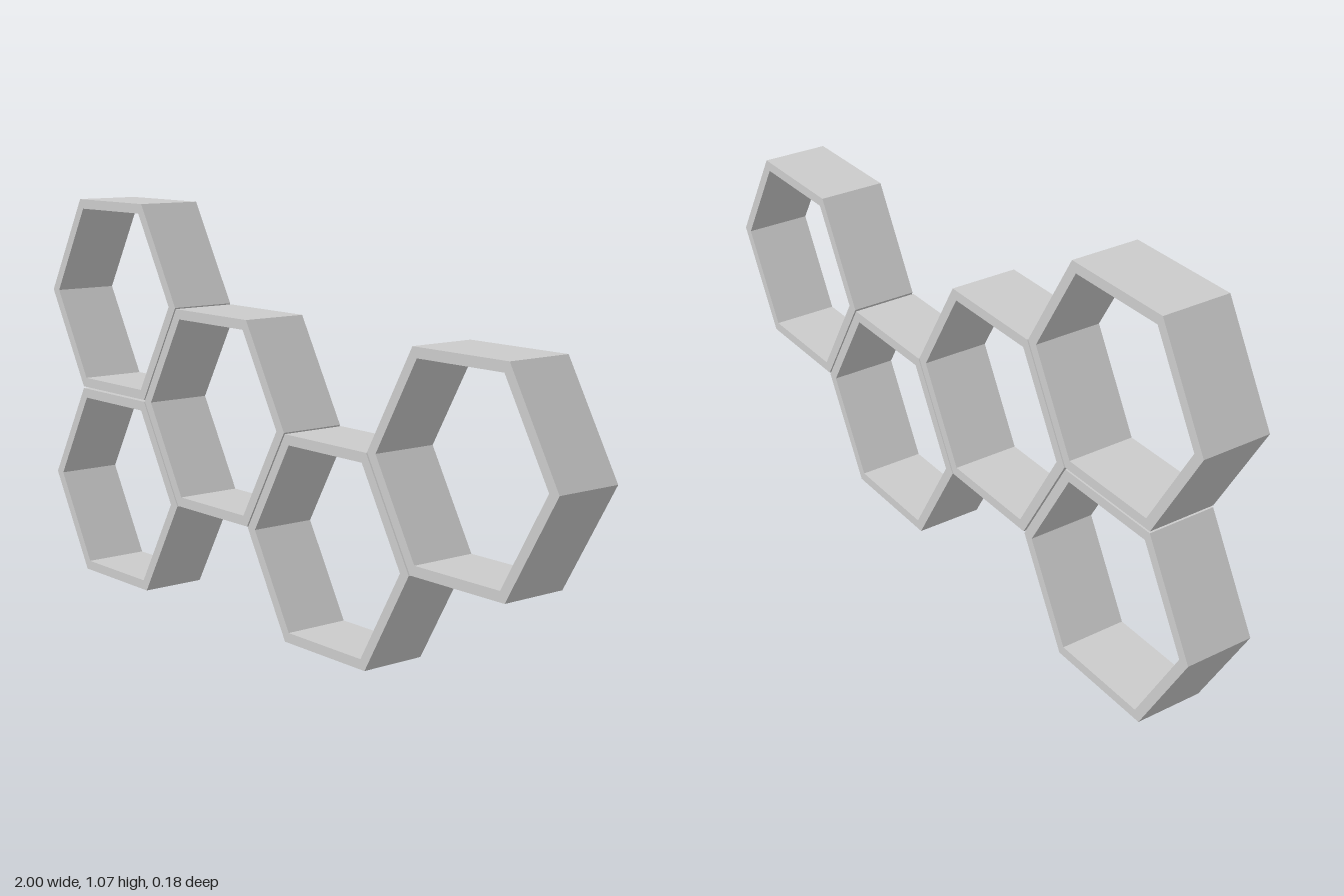
import * as THREE from 'three';

const OUTER = 0.306;  // corner radius of a cell
const INNER = 0.276;  // corner radius of its opening
const DEPTH = 0.18;
const PITCH_X = 0.4627;
const PITCH_Y = 0.535;

// Corners of a flat-topped hexagon
function hexagon(radius) {
  return Array.from({ length: 6 }, (_, i) => {
    const a = (i * Math.PI) / 3;
    return new THREE.Vector2(radius * Math.cos(a), radius * Math.sin(a));
  });
}

export function createModel() {
  const group = new THREE.Group();
  group.name = 'honeycombShelf';
  const material = new THREE.MeshStandardMaterial({ color: 0xcccccc, flatShading: true });

  // One open hexagonal frame, shared by all cells
  const shape = new THREE.Shape(hexagon(OUTER));
  shape.holes.push(new THREE.Path(hexagon(INNER).reverse()));
  const geometry = new THREE.ExtrudeGeometry(shape, { depth: DEPTH, bevelEnabled: false });
  geometry.translate(0, 0, -DEPTH / 2);

  // Cells as [column, height in pitches], with a narrow gap between neighbours
  const cells = [[-1.5, 0], [-1.5, 1], [-0.5, 0.5], [0.5, 0], [1.5, 0.5]];
  const baseY = (OUTER * Math.sqrt(3)) / 2;
  cells.forEach(([column, row], i) => {
    const cell = new THREE.Mesh(geometry, material);
    cell.name = `hexagonalCell${i + 1}`;
    cell.position.set(column * PITCH_X, baseY + row * PITCH_Y, 0);
    group.add(cell);
  });

  return group;
}
